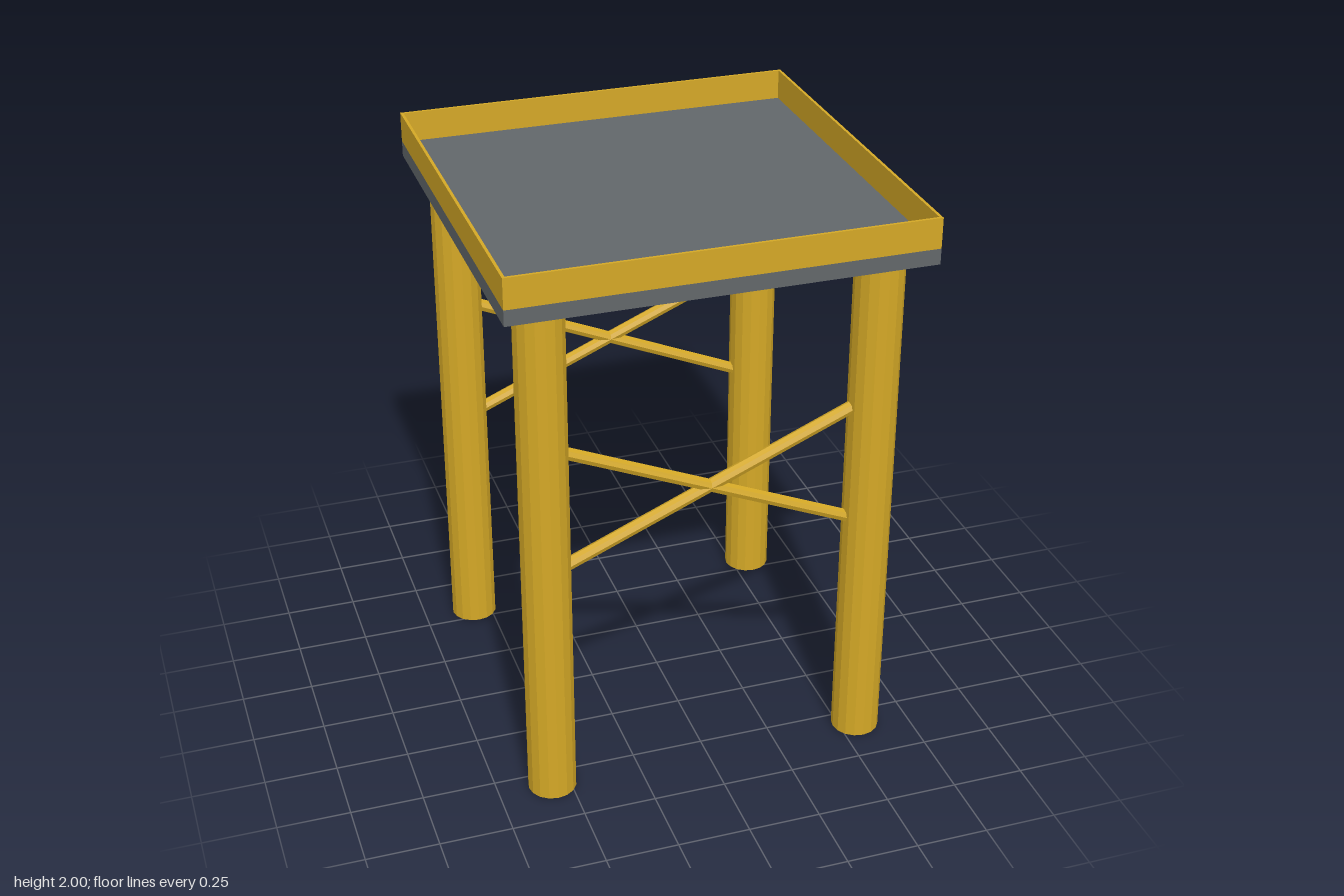
import * as THREE from 'three';

const gold = new THREE.MeshStandardMaterial({ color: 0xd4a826, flatShading: true });
gold.name = 'gold';
const grey = new THREE.MeshStandardMaterial({ color: 0x62676a, flatShading: true });
grey.name = 'slateGrey';

const HALF = 0.702, LEG = 0.561, LEG_R = 0.083;
const SLAB_BOTTOM = 1.842, SLAB_TOP = 1.896, RIM_TOP = 2, RIM_T = 0.01;

export function createModel() {
  const model = new THREE.Group();
  model.name = 'table';
  const add = (name, geometry, material, x, y, z) => {
    const mesh = new THREE.Mesh(geometry, material);
    mesh.name = name;
    mesh.position.set(x, y, z);
    model.add(mesh);
    return mesh;
  };

  // Table top slab
  add('tableTop', new THREE.BoxGeometry(2 * HALF, SLAB_TOP - SLAB_BOTTOM, 2 * HALF), grey,
    0, (SLAB_TOP + SLAB_BOTTOM) / 2, 0);

  // Thin raised rim: a square frame with a hole, extruded upwards
  const square = (Path, h) => new Path([[-h, -h], [h, -h], [h, h], [-h, h]].map(p => new THREE.Vector2(...p)));
  const frame = square(THREE.Shape, HALF);
  frame.holes.push(square(THREE.Path, HALF - RIM_T));
  const rimGeo = new THREE.ExtrudeGeometry(frame, { depth: RIM_TOP - SLAB_TOP, bevelEnabled: false });
  rimGeo.rotateX(-Math.PI / 2);
  add('rim', rimGeo, gold, 0, SLAB_TOP, 0);

  // Four round legs
  const legGeo = new THREE.CylinderGeometry(LEG_R, LEG_R, SLAB_BOTTOM, 16);
  for (const x of [-LEG, LEG])
    for (const z of [-LEG, LEG]) add('leg', legGeo, gold, x, SLAB_BOTTOM / 2, z);

  // Crossed braces between the front legs and between the back legs
  const rise = 0.24;
  const braceGeo = new THREE.CylinderGeometry(0.022, 0.022, 2 * Math.hypot(LEG, rise), 8);
  for (const z of [-LEG, LEG])
    for (const side of [-1, 1])
      add('crossBrace', braceGeo, gold, 0, 1.09, z).rotation.z = side * Math.atan2(LEG, rise);

  return model;
}
